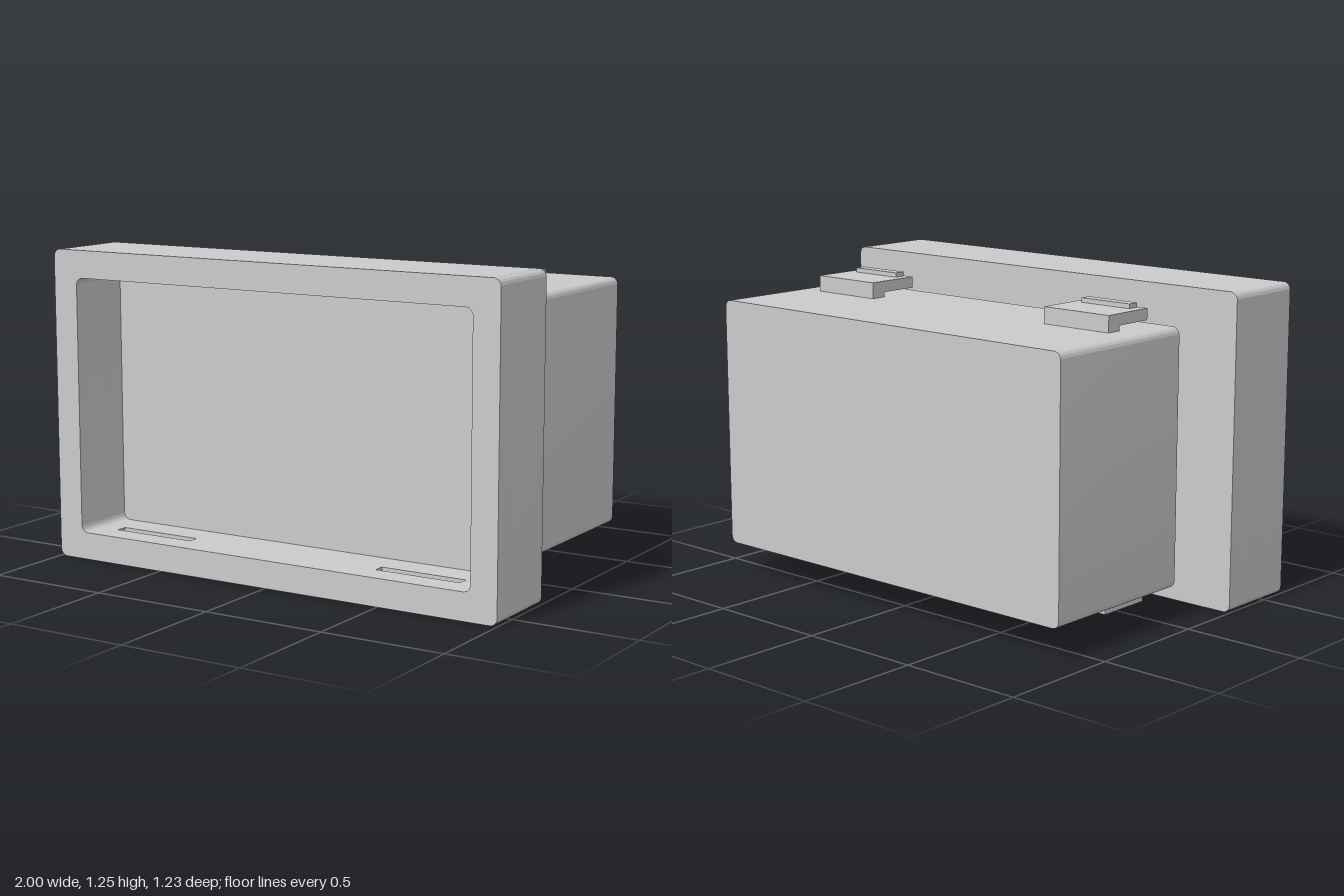
import * as THREE from 'three';
import { toCreasedNormals } from 'three/addons/utils/BufferGeometryUtils.js';

const material = new THREE.MeshStandardMaterial({ color: 0xcccccc });
const MID = 0.625; // height of the horizontal mirror plane

// Rounded rectangle centred on the origin; notches are [x0, x1, depth] cut into top and bottom edges
function roundedRect(path, hw, hh, r, notches = []) {
  const notch = (side) => {
    for (const [x0, x1, d] of notches) {
      path.lineTo(side * x0, side * hh);
      path.lineTo(side * x0, side * (hh + d));
      path.lineTo(side * x1, side * (hh + d));
      path.lineTo(side * x1, side * hh);
    }
  };
  path.moveTo(-hw + r, -hh);
  notch(-1);
  path.lineTo(hw - r, -hh);
  path.absarc(hw - r, -hh + r, r, -Math.PI / 2, 0, false);
  path.lineTo(hw, hh - r);
  path.absarc(hw - r, hh - r, r, 0, Math.PI / 2, false);
  notch(1);
  path.lineTo(-hw + r, hh);
  path.absarc(-hw + r, hh - r, r, Math.PI / 2, Math.PI, false);
  path.lineTo(-hw, -hh + r);
  path.absarc(-hw + r, -hh + r, r, Math.PI, Math.PI * 1.5, false);
  return path;
}

// Extrudes a profile from z0 to z1
function slab(name, shape, z0, z1) {
  const geo = new THREE.ExtrudeGeometry(shape, { depth: z1 - z0, bevelEnabled: false, curveSegments: 8 });
  const mesh = new THREE.Mesh(toCreasedNormals(geo, 0.6), material);
  mesh.name = name;
  mesh.position.set(0, MID, z0);
  return mesh;
}

function box(name, x0, x1, y0, y1, z0, z1) {
  const mesh = new THREE.Mesh(new THREE.BoxGeometry(x1 - x0, y1 - y0, z1 - z0), material);
  mesh.name = name;
  mesh.position.set((x0 + x1) / 2, (y0 + y1) / 2, (z0 + z1) / 2);
  return mesh;
}

export function createModel() {
  const model = new THREE.Group();
  model.name = 'snapFitEnclosure';

  // Front cover: back wall plus a deep rim with latch slots in its floor and ceiling
  const cover = new THREE.Group();
  cover.name = 'frontCover';
  const outer = () => roundedRect(new THREE.Shape(), 1, 0.625, 0.03);
  const rim = (notches) => {
    const shape = outer();
    shape.holes.push(roundedRect(new THREE.Path(), 0.89, 0.515, 0.03, notches));
    return shape;
  };
  const slots = [[-0.79, -0.43, 0.03], [0.43, 0.79, 0.03]];
  // The top and bottom edges run in opposite x directions, and so do their mirrored slots
  const ordered = slots.map(([a, b, d]) => [-b, -a, d]).reverse().map(([a, b, d]) => [b, a, d]).reverse();
  cover.add(
    slab('coverBackWall', outer(), 0.265, 0.34),
    slab('coverRimInner', rim(), 0.34, 0.465),
    slab('coverRimSlotted', rim(ordered), 0.465, 0.51),
    slab('coverRimOuter', rim(), 0.51, 0.617)
  );
  model.add(cover);

  // Rear housing
  model.add(slab('rearHousing', roundedRect(new THREE.Shape(), 0.88, 0.505, 0.03), -0.617, 0.07));

  // Four cantilever latches, mirrored left/right and top/bottom
  for (const sx of [-1, 1]) {
    for (const sy of [-1, 1]) {
      const latch = new THREE.Group();
      latch.name = (sy > 0 ? 'top' : 'bottom') + (sx > 0 ? 'Left' : 'Right') + 'Latch';
      latch.add(
        box('latchFoot', -0.155, 0.155, 0.5, 0.525, -0.205, -0.14),
        box('latchArm', -0.155, 0.155, 0.525, 0.57, -0.205, 0.025),
        box('latchRidge', -0.115, 0.115, 0.57, 0.588, -0.032, 0.013)
      );
      latch.position.set(sx * 0.608, MID, 0);
      if (sy < 0) latch.scale.y = -1;
      model.add(latch);
    }
  }
  return model;
}
